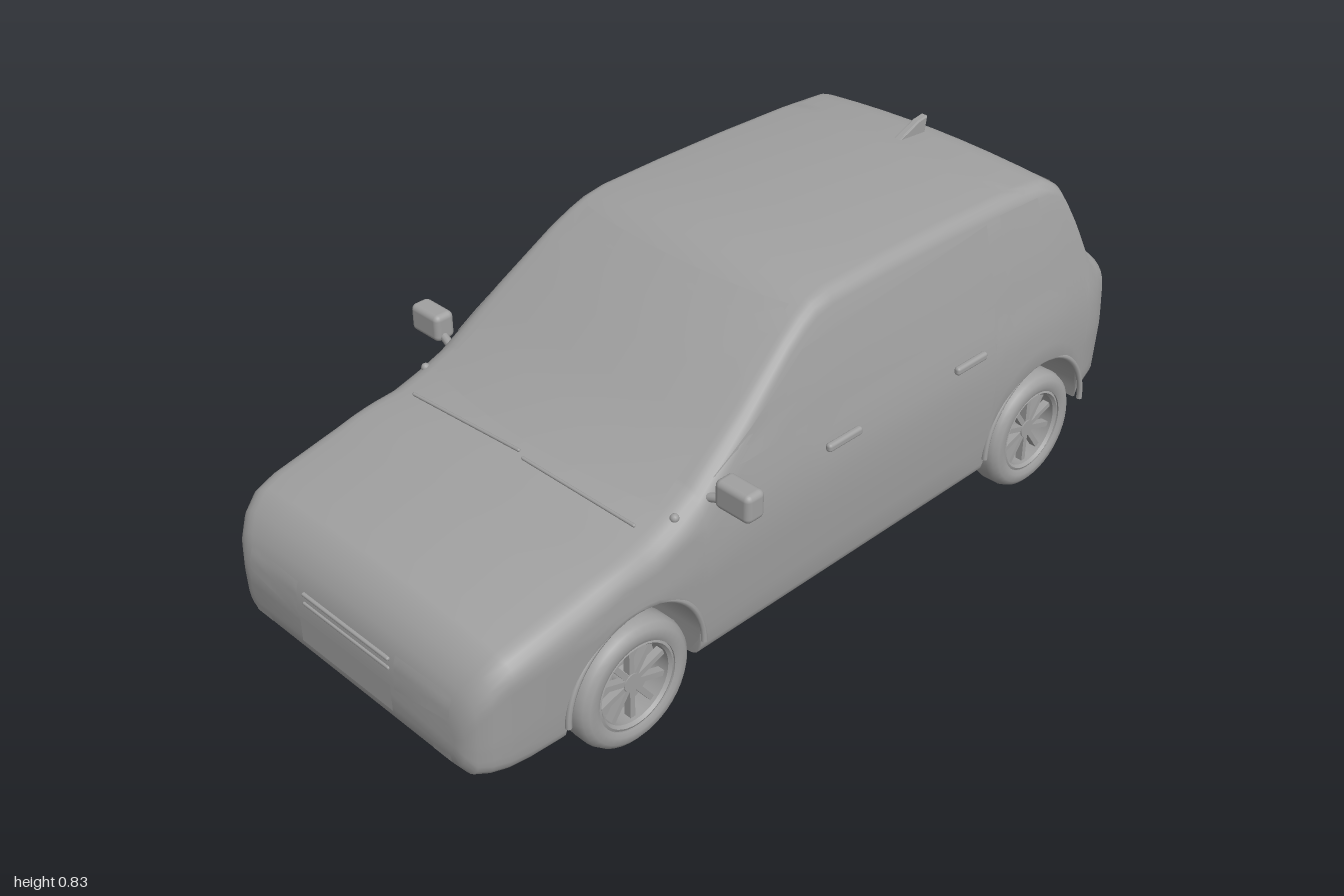
import * as THREE from 'three';
import { toCreasedNormals } from 'three/addons/utils/BufferGeometryUtils.js';
import { RoundedBoxGeometry } from 'three/addons/geometries/RoundedBoxGeometry.js';

const grey = new THREE.MeshStandardMaterial({ color: 0xa0a0a0, side: THREE.DoubleSide });
grey.name = 'plain grey';

// [z, height] of the roof line, [z, height] of the underside,
// [z, scale] of the plan taper, [height, half width] of the flanks
const TOP = [[0.99, 0.25], [0.985, 0.3], [0.97, 0.34], [0.945, 0.375], [0.91, 0.406], [0.86, 0.422],
  [0.72, 0.45], [0.54, 0.48], [0.47, 0.505], [0.406, 0.535], [0.25, 0.645], [0.11, 0.743], [0.06, 0.772],
  [0.02, 0.79], [-0.03, 0.8], [-0.2, 0.804], [-0.4, 0.804], [-0.62, 0.798], [-0.77, 0.786], [-0.81, 0.762],
  [-0.84, 0.71], [-0.9, 0.57], [-0.93, 0.552], [-0.957, 0.53], [-0.975, 0.485], [-0.985, 0.43]];
const BASE = [[0.99, 0.17], [0.985, 0.14], [0.97, 0.12], [0.9, 0.113], [0.4, 0.107], [-0.52, 0.107],
  [-0.88, 0.16], [-0.957, 0.18], [-0.975, 0.2], [-0.985, 0.235]];
const PLAN = [[0.99, 0.8], [0.985, 0.86], [0.97, 0.91], [0.945, 0.95], [0.91, 0.975], [0.86, 0.99], [0.72, 1],
  [-0.77, 1], [-0.9, 0.985], [-0.957, 0.955], [-0.975, 0.92], [-0.985, 0.87]];
const FLANK = [[0.1, 0.41], [0.2, 0.42], [0.35, 0.429], [0.45, 0.424], [0.5, 0.413], [0.62, 0.39],
  [0.75, 0.358], [0.81, 0.342]];
const AXLES = [0.592, -0.705], ARCH = 0.18, ARCH_Y = 0.16;

function lookup(table, v) {
  const sign = table[0][0] < table[1][0] ? 1 : -1;
  if ((v - table[0][0]) * sign <= 0) return table[0][1];
  for (let i = 1; i < table.length; i++) {
    const [a, p] = table[i - 1], [b, q] = table[i];
    if ((v - b) * sign <= 0) return p + (q - p) * (v - a) / (b - a);
  }
  return table[table.length - 1][1];
}

// One closed cross-section of the shell, counter-clockwise from the bottom centre
function section({ z, b, arch }) {
  const t = lookup(TOP, z), p = lookup(PLAN, z), h = t - b;
  const crown = Math.min(0.016, h * 0.1), edge = t - crown;
  const rt = Math.min(h * 0.35, 0.05 - 0.02 * THREE.MathUtils.smoothstep(t, 0.5, 0.75));
  const rb = arch ? 0.006 : Math.min(h * 0.3, 0.035);
  const w = y => lookup(FLANK, y) * p;
  const half = [];
  for (let i = 0; i <= 4; i++) {
    const a = i / 4 * Math.PI / 2, y = b + rb * (1 - Math.cos(a));
    half.push([w(y) - rb * (1 - Math.sin(a)), y]);
  }
  for (let i = 1; i < 10; i++) {
    const y = THREE.MathUtils.lerp(b + rb, edge - rt, i / 10);
    half.push([w(y), y]);
  }
  for (let i = 0; i <= 5; i++) {
    const a = i / 5 * Math.PI / 2, y = edge - rt + rt * Math.sin(a);
    half.push([w(y) - rt * (1 - Math.cos(a)), y]);
  }
  const xe = half[half.length - 1][0];
  for (const f of [0.75, 0.5, 0.25]) half.push([xe * f, t - crown * f * f]);
  const mirrored = half.slice().reverse().map(([x, y]) => [-x, y]);
  return [[0, b], ...half, [0, t], ...mirrored].map(([x, y]) => [x, y, z]);
}

function bodyGeometry() {
  const stations = [...new Set([...TOP, ...BASE, ...PLAN].map(e => e[0]))]
    .filter(z => AXLES.every(c => Math.abs(z - c) > ARCH + 0.005))
    .map(z => ({ z, b: lookup(BASE, z) }));
  for (const c of AXLES) {
    for (const s of [-1, 1]) {
      const z = c + s * (ARCH + 0.004);
      stations.push({ z, b: lookup(BASE, z) });
    }
    for (let i = 0; i <= 20; i++) {
      const a = i / 20 * Math.PI;
      stations.push({ z: c + ARCH * Math.cos(a), b: ARCH_Y + ARCH * Math.sin(a), arch: true });
    }
  }
  stations.sort((m, n) => n.z - m.z);
  const rings = stations.map(section), n = rings[0].length, pos = rings.flat(2), index = [];
  for (let i = 0; i < rings.length - 1; i++) for (let j = 0; j < n; j++) {
    const k = (j + 1) % n, a = i * n + j, b = i * n + k, c = b + n, d = a + n;
    index.push(a, d, b, b, d, c);
  }
  // close the nose and the tail
  for (const [r, flip] of [[0, false], [rings.length - 1, true]]) {
    const mid = pos.length / 3, ring = rings[r];
    pos.push(0, (ring[0][1] + ring[n / 2][1]) / 2, ring[0][2]);
    for (let j = 0; j < n; j++) {
      const a = r * n + j, b = r * n + (j + 1) % n;
      index.push(mid, flip ? b : a, flip ? a : b);
    }
  }
  const g = new THREE.BufferGeometry();
  g.setAttribute('position', new THREE.Float32BufferAttribute(pos, 3));
  g.setIndex(index);
  return toCreasedNormals(g, 0.6);
}

export function createModel() {
  const car = new THREE.Group();
  car.name = 'car';
  const add = (name, geo, parent = car) => {
    const m = new THREE.Mesh(geo, grey);
    m.name = name;
    parent.add(m);
    return m;
  };
  const body = add('body', bodyGeometry());

  // Thin four-cornered panel laid on the body; u,v are x,y (front, rear) or z,y (sides)
  const ray = new THREE.Raycaster();
  function panel(name, axis, side, corners, lift = 0.004, nu = 10, nv = 5) {
    const out = new THREE.Vector3(axis === 'x' ? side : 0, 0, axis === 'z' ? side : 0);
    const geo = new THREE.PlaneGeometry(1, 1, nu, nv), pos = geo.attributes.position;
    const [a, b, c, d] = corners.map(q => new THREE.Vector2(...q));
    for (let i = 0; i < pos.count; i++) {
      const u = pos.getX(i) + 0.5, v = pos.getY(i) + 0.5;
      const q = a.clone().lerp(b, u).lerp(d.clone().lerp(c, u), v);
      const from = axis === 'x' ? new THREE.Vector3(side * 2, q.y, q.x) : new THREE.Vector3(q.x, q.y, side * 2);
      ray.set(from, out.clone().negate());
      const hit = ray.intersectObject(body)[0];
      const at = hit ? hit.point : from.addScaledVector(out, -1.03);
      at.addScaledVector(out, lift);
      pos.setXYZ(i, at.x, at.y, at.z);
    }
    // keep the face pointing outward
    if ((axis === 'x') === (side > 0)) {
      const ix = geo.index.array;
      for (let i = 0; i < ix.length; i += 3) [ix[i], ix[i + 1]] = [ix[i + 1], ix[i]];
    }
    geo.computeVertexNormals();
    return add(name, geo);
  }
  const rect = (x0, x1, y0, y1) => [[x0, y0], [x1, y0], [x1, y1], [x0, y1]];

  function rod(name, a, b, r, parent) {
    const p = new THREE.Vector3(...a), q = new THREE.Vector3(...b), dir = q.clone().sub(p);
    const m = add(name, new THREE.CapsuleGeometry(r, dir.length(), 4, 10), parent);
    m.position.copy(p).lerp(q, 0.5);
    m.quaternion.setFromUnitVectors(new THREE.Vector3(0, 1, 0), dir.normalize());
    return m;
  }

  // Glass, plates and bumper details
  panel('windscreen', 'z', 1, [[-0.35, 0.495], [0.35, 0.495], [0.305, 0.765], [-0.305, 0.765]]);
  panel('rearWindow', 'z', -1, [[-0.36, 0.6], [0.36, 0.6], [0.32, 0.745], [-0.32, 0.745]]);
  panel('frontPlate', 'z', 1, rect(-0.15, 0.15, 0.17, 0.235), 0.006);
  panel('rearPlate', 'z', -1, rect(-0.14, 0.14, 0.31, 0.375), 0.006);
  panel('rearBumperStrip', 'z', -1, rect(-0.33, 0.33, 0.235, 0.245), 0.005, 10, 1);
  rod('exhaust', [-0.24, 0.235, -0.95], [-0.24, 0.235, -0.983], 0.012);
  for (const y of [0.268, 0.291]) {
    const bar = add('grilleBar', new RoundedBoxGeometry(0.285, 0.009, 0.02, 2, 0.004));
    bar.position.set(0, y, 0.982);
  }

  for (const s of [1, -1]) {
    panel('headlight', 'z', 1, [[0.16, 0.23], [0.328, 0.255], [0.328, 0.31], [0.16, 0.31]].map(([x, y]) => [x * s, y]));
    panel('fogLight', 'z', 1, rect(0.27 * s, 0.325 * s, 0.148, 0.168));
    panel('tailLight', 'z', -1, rect(0.3 * s, 0.375 * s, 0.28, 0.42));
    panel('sideWindow', 'x', s, [[0.36, 0.535], [-0.53, 0.56], [-0.53, 0.75], [0.08, 0.7]], 0.003);
    panel('quarterWindow', 'x', s, [[-0.578, 0.585], [-0.735, 0.585], [-0.715, 0.75], [-0.578, 0.755]], 0.003);

    // Door mirror on its arm
    const mirror = new THREE.Group();
    mirror.name = 'mirror';
    car.add(mirror);
    add('mirrorHousing', new RoundedBoxGeometry(0.096, 0.067, 0.052, 3, 0.014), mirror)
      .position.set(0.479 * s, 0.53, 0.367);
    rod('mirrorArm', [0.445 * s, 0.512, 0.37], [0.4 * s, 0.5, 0.38], 0.01, mirror);

    // Door handles
    for (const z of [-0.002, -0.425]) {
      add('doorHandle', new RoundedBoxGeometry(0.016, 0.02, 0.105, 3, 0.007)).position.set(0.427 * s, 0.468, z);
    }

    // Wheel arch lips
    for (const z of AXLES) {
      const lip = add('archLip', new THREE.TorusGeometry(ARCH + 0.006, 0.007, 8, 32, Math.PI));
      lip.rotation.y = Math.PI / 2;
      lip.position.set(0.421 * s, ARCH_Y, z);
    }
    add('washerNozzle', new THREE.SphereGeometry(0.01, 12, 8)).position.set(0.392 * s, 0.485, 0.46);
  }

  // Wipers
  rod('wiper', [-0.33, 0.479, 0.54], [0.005, 0.492, 0.53], 0.004);
  rod('wiper', [0.03, 0.489, 0.54], [0.35, 0.482, 0.53], 0.004);

  // Roof aerial, rising toward the rear
  const fin = new THREE.Shape([[0.645, 0.793], [0.735, 0.785], [0.742, 0.824], [0.715, 0.82]]
    .map(p => new THREE.Vector2(...p)));
  const aerial = add('aerial', new THREE.ExtrudeGeometry(fin,
    { depth: 0.012, bevelThickness: 0.004, bevelSize: 0.003, bevelSegments: 2 }));
  aerial.rotation.y = Math.PI / 2;
  aerial.position.x = -0.006;

  // Wheels: tyre, rim with ten spokes, and hub, all around the x axis
  const lathe = pts => toCreasedNormals(
    new THREE.LatheGeometry(pts.map(p => new THREE.Vector2(...p)), 40).rotateZ(-Math.PI / 2), 0.7);
  const tyre = lathe([[0.104, -0.04], [0.115, -0.045], [0.132, -0.043], [0.144, -0.034], [0.15, -0.018], [0.15, 0.018],
    [0.144, 0.034], [0.132, 0.043], [0.115, 0.045], [0.104, 0.04], [0.104, -0.04]]);
  const rim = lathe([[0, -0.012], [0.092, -0.012], [0.092, 0.032], [0.098, 0.039], [0.105, 0.036], [0.105, -0.036],
    [0.098, -0.036], [0.096, -0.02], [0, -0.02]]);
  const hub = new THREE.CylinderGeometry(0.022, 0.026, 0.034, 20).rotateZ(-Math.PI / 2);
  for (const z of AXLES) for (const s of [1, -1]) {
    const wheel = new THREE.Group();
    wheel.name = 'wheel';
    add('tyre', tyre, wheel);
    add('rim', rim, wheel);
    add('hub', hub, wheel).position.x = 0.008;
    for (let i = 0; i < 10; i++) {
      const spoke = add('spoke', new THREE.BoxGeometry(0.018, 0.076, 0.013).translate(0.014, 0.056, 0), wheel);
      spoke.rotation.x = i * Math.PI / 5;
    }
    wheel.position.set(0.38 * s, 0.15, z);
    if (s < 0) wheel.rotation.y = Math.PI;
    car.add(wheel);
  }
  return car;
}
